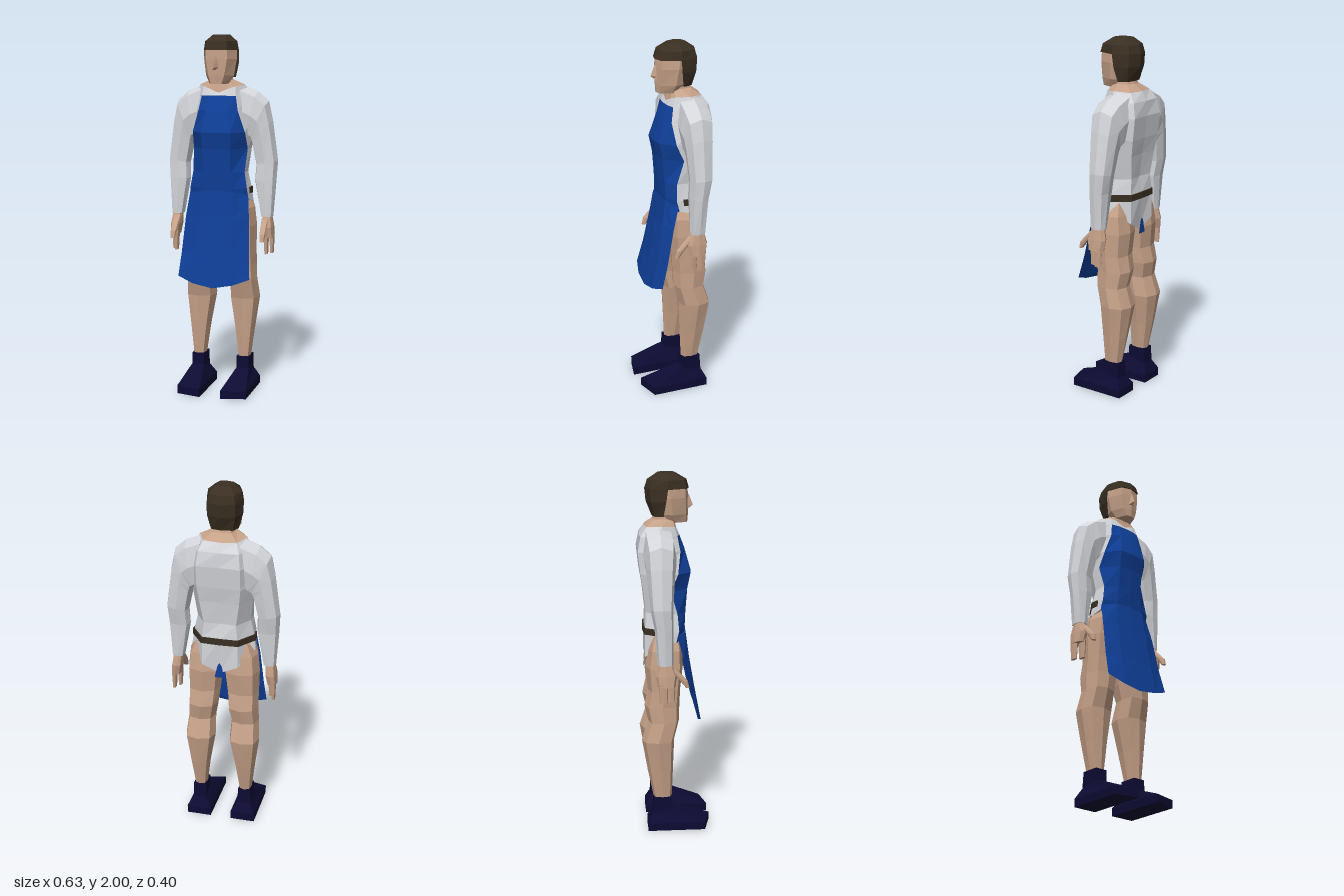
import * as THREE from 'three';

const mat = (name, color) => {
  const m = new THREE.MeshStandardMaterial({ color, flatShading: true });
  m.name = name;
  return m;
};

// Full ring from a half section: front centre, round the left side, to back centre
const half = (pts) => [
  ...pts,
  ...pts.slice(1, -1).reverse().map(([x, y, z]) => [-x, y, z]),
];
const level = (y, pts) => half(pts.map(([x, z]) => [x, y, z]));

// Eight-sided ring between two opposite points, with front and back depth
const oval = (xi, yi, xo, yo, zf, zb) => Array.from({ length: 8 }, (_, k) => {
  const a = (k / 8) * Math.PI * 2;
  const g = k % 2 ? 1.1 : 1;
  const u = Math.sin(a) * g, w = Math.cos(a) * g;
  return [
    (xi + xo) / 2 + ((xo - xi) / 2) * u,
    (yi + yo) / 2 + ((yo - yi) / 2) * u,
    (zf + zb) / 2 + ((zf - zb) / 2) * w,
  ];
});

// Skin rings from bottom to top, close both ends; paint picks a material index
function loft(rings, paint = () => 0) {
  const buckets = [[], []];
  const n = rings[0].length;
  for (let i = 0; i < rings.length - 1; i++) {
    for (let j = 0; j < n; j++) {
      const k = (j + 1) % n;
      const a = rings[i][j], b = rings[i][k], c = rings[i + 1][k], d = rings[i + 1][j];
      buckets[paint(i, j)].push(...a, ...b, ...c, ...a, ...c, ...d);
    }
  }
  const cap = (ring, up) => {
    const m = [0, 1, 2].map((q) => ring.reduce((s, p) => s + p[q], 0) / n);
    ring.forEach((p, j) => {
      const q = ring[(j + 1) % n];
      buckets[0].push(...m, ...(up ? p : q), ...(up ? q : p));
    });
  };
  cap(rings[0], false);
  cap(rings[rings.length - 1], true);
  const geo = new THREE.BufferGeometry();
  geo.setAttribute('position', new THREE.Float32BufferAttribute(buckets.flat(), 3));
  geo.addGroup(0, buckets[0].length / 3, 0);
  if (buckets[1].length) geo.addGroup(buckets[0].length / 3, buckets[1].length / 3, 1);
  geo.computeVertexNormals();
  return geo;
}

// Mirror across x and turn the triangles round again
function mirrored(geo) {
  const g = geo.clone().scale(-1, 1, 1);
  const p = g.attributes.position;
  const v = new THREE.Vector3(), w = new THREE.Vector3();
  for (let i = 0; i < p.count; i += 3) {
    v.fromBufferAttribute(p, i + 1);
    w.fromBufferAttribute(p, i + 2);
    p.setXYZ(i + 1, w.x, w.y, w.z);
    p.setXYZ(i + 2, v.x, v.y, v.z);
  }
  g.computeVertexNormals();
  return g;
}

export function createModel() {
  const model = new THREE.Group();
  model.name = 'apronedMan';
  const skin = mat('skin', 0xc6a188);
  const shirt = mat('shirt white', 0xd3d5da);
  const blue = mat('apron blue', 0x0f3f98);
  const hair = mat('hair brown', 0x3a2f22);
  const shoe = mat('shoe navy', 0x0d0b33);
  blue.side = THREE.DoubleSide;

  const add = (name, geo, material) => {
    const m = new THREE.Mesh(geo, material);
    m.name = name;
    model.add(m);
  };
  const pair = (name, geo, material) => {
    add(name + 'Left', geo, material);
    add(name + 'Right', mirrored(geo), material);
  };

  // Torso: white shirt with the apron bib on the front columns
  const collar = half([[0, 1.685, 0.02], [0.06, 1.71, 0.012], [0.09, 1.72, 0],
    [0.13, 1.728, -0.07], [0.09, 1.72, -0.15], [0, 1.72, -0.165]]);
  const torso = [
    half([[0, 1.02, 0.045], [0.09, 1.06, 0.045], [0.168, 1.1, 0.005],
      [0.18, 1.08, -0.07], [0.1, 1.0, -0.165], [0, 0.95, -0.15]]),
    level(1.16, [[0, 0.058], [0.09, 0.055], [0.163, 0.02], [0.17, -0.06], [0.1, -0.162], [0, -0.165]]),
    level(1.25, [[0, 0.067], [0.08, 0.06], [0.148, 0.012], [0.15, -0.06], [0.09, -0.158], [0, -0.15]]),
    level(1.38, [[0, 0.076], [0.08, 0.07], [0.156, -0.025], [0.165, -0.08], [0.11, -0.172], [0, -0.165]]),
    level(1.47, [[0, 0.094], [0.085, 0.088], [0.15, 0.015], [0.18, -0.09], [0.12, -0.187], [0, -0.182]]),
    level(1.59, [[0, 0.06], [0.06, 0.056], [0.112, 0.03], [0.18, -0.09], [0.12, -0.2], [0, -0.195]]),
    level(1.67, [[0, 0.03], [0.05, 0.028], [0.097, 0.015], [0.16, -0.08], [0.11, -0.185], [0, -0.19]]),
    collar,
  ];
  add('torso', loft(torso, (i, j) => (i < 6 && (j < 2 || j > 7) ? 1 : 0)), [shirt, blue]);

  // Belt round the back
  const beltLine = [[0, 0], [0.1, -0.01], [0.174, -0.02], [0.178, -0.063], [0.104, -0.168], [0, -0.173]];
  add('belt', loft([level(1.13, beltLine), level(1.165, beltLine)]), hair);

  // Apron skirt: thin sheet flaring forward
  const sheet = (yc, ym, ye, zc, zm, ze, xe) => half([
    [0, yc, zc], [xe * 0.55, ym, zm], [xe, ye, ze],
    [xe * 0.55, ym, zm - 0.008], [0, yc, zc - 0.008]]);
  add('apronSkirt', loft([
    sheet(0.615, 0.635, 0.668, 0.152, 0.145, 0.12, 0.205),
    sheet(0.8, 0.8, 0.8, 0.118, 0.113, 0.085, 0.195),
    sheet(1.0, 1.0, 1.0, 0.083, 0.079, 0.045, 0.182),
    sheet(1.15, 1.14, 1.13, 0.064, 0.06, 0.01, 0.168),
  ]), blue);

  // Small blue patch at the seat
  const patch = new THREE.Shape([[-0.028, 0.93], [0.028, 0.93], [0.012, 1.0], [0, 1.02], [-0.012, 1.0]]
    .map(([x, y]) => new THREE.Vector2(x, y)));
  add('seatPatch', new THREE.ShapeGeometry(patch).translate(0, 0, -0.167), blue);

  // Neck
  add('neck', loft([
    collar,
    level(1.755, [[0, 0], [0.025, -0.002], [0.045, -0.01], [0.062, -0.045], [0.05, -0.105], [0, -0.118]]),
    level(1.8, [[0, -0.005], [0.025, -0.007], [0.04, -0.012], [0.056, -0.045], [0.04, -0.09], [0, -0.1]]),
  ]), skin);

  // Head and nose
  add('head', loft([
    level(1.735, [[0, 0.076], [0.03, 0.068], [0.055, 0.005], [0.04, -0.05], [0, -0.06]]),
    level(1.78, [[0, 0.08], [0.045, 0.066], [0.08, -0.01], [0.058, -0.08], [0, -0.095]]),
    level(1.87, [[0, 0.08], [0.06, 0.062], [0.094, -0.02], [0.065, -0.11], [0, -0.13]]),
    level(1.94, [[0, 0.076], [0.058, 0.058], [0.092, -0.03], [0.065, -0.11], [0, -0.13]]),
  ]), skin);
  add('nose', loft([
    [[0, 1.81, 0.088], [0.018, 1.81, 0.075], [-0.018, 1.81, 0.075]],
    [[0, 1.825, 0.106], [0.016, 1.825, 0.075], [-0.016, 1.825, 0.075]],
    [[0, 1.885, 0.083], [0.008, 1.885, 0.072], [-0.008, 1.885, 0.072]],
  ]), skin);

  // Hair: cap on top, longer part at the back
  add('hairCap', loft([
    level(1.918, [[0, 0.084], [0.06, 0.068], [0.1, -0.035], [0.075, -0.13], [0, -0.157]]),
    level(1.965, [[0, 0.07], [0.056, 0.054], [0.092, -0.035], [0.066, -0.12], [0, -0.142]]),
    level(2.0, [[0, 0.01], [0.036, 0], [0.05, -0.04], [0.038, -0.08], [0, -0.09]]),
  ]), hair);
  add('hairBack', loft([
    level(1.77, [[0, -0.055], [0.078, -0.058], [0.057, -0.107], [0, -0.118]]),
    level(1.85, [[0, -0.04], [0.099, -0.045], [0.075, -0.125], [0, -0.15]]),
    level(1.92, [[0, -0.03], [0.1, -0.035], [0.075, -0.13], [0, -0.157]]),
  ]), hair);

  // Arms, wrist to shoulder
  pair('sleeve', loft([
    oval(0.225, 1.0, 0.295, 1.0, -0.02, -0.105),
    oval(0.188, 1.2, 0.31, 1.2, -0.018, -0.12),
    oval(0.192, 1.29, 0.316, 1.31, -0.02, -0.14),
    oval(0.168, 1.4, 0.286, 1.53, -0.008, -0.155),
    oval(0.16, 1.42, 0.262, 1.64, 0, -0.162),
    oval(0.145, 1.43, 0.2, 1.693, 0.005, -0.17),
    oval(0.09, 1.46, 0.11, 1.728, 0, -0.175),
  ]), shirt);

  // Hands: palm, two finger blocks and a thumb
  pair('palm', loft([
    oval(0.25, 0.88, 0.302, 0.88, -0.01, -0.105),
    oval(0.238, 0.94, 0.298, 0.94, 0, -0.115),
    oval(0.235, 1.01, 0.288, 1.01, -0.028, -0.098),
  ]), skin);
  for (const [name, x, z] of [['innerFingers', 0.262, -0.035], ['outerFingers', 0.285, -0.075]]) {
    pair(name, loft([
      oval(x - 0.008, 0.79, x + 0.01, 0.79, z + 0.022, z - 0.02),
      oval(x - 0.014, 0.9, x + 0.014, 0.9, z + 0.026, z - 0.028),
    ]), skin);
  }
  pair('thumb', loft([
    oval(0.245, 0.87, 0.27, 0.87, 0.068, 0.048),
    oval(0.24, 0.91, 0.275, 0.91, 0.058, 0.015),
    oval(0.235, 0.99, 0.275, 0.99, -0.02, -0.06),
  ]), skin);

  // Legs: [y, inner x, outer x, front z, back z]
  pair('leg', loft([
    [0.17, 0.1, 0.165, -0.02, -0.118],
    [0.35, 0.075, 0.188, -0.012, -0.155],
    [0.53, 0.042, 0.213, -0.005, -0.186],
    [0.64, 0.047, 0.203, 0.022, -0.15],
    [0.73, 0.03, 0.2, 0.025, -0.17],
    [0.82, 0.02, 0.2, 0.03, -0.15],
    [0.95, 0.005, 0.203, 0.045, -0.163],
    [1.05, 0.005, 0.193, 0.042, -0.148],
    [1.13, 0.01, 0.155, 0.03, -0.13],
  ].map(([y, xi, xo, zf, zb]) => oval(xi, y, xo, y, zf, zb))), skin);

  // Shoes
  const sole = (y) => [[0.06, y, 0.2], [0.2, y, 0.166], [0.2, y, -0.155], [0.06, y, -0.155]];
  pair('shoe', loft([
    sole(0),
    sole(0.045),
    [[0.098, 0.125, -0.015], [0.168, 0.125, -0.015], [0.17, 0.1, -0.128], [0.095, 0.1, -0.128]],
    [[0.097, 0.19, -0.018], [0.168, 0.19, -0.018], [0.168, 0.19, -0.122], [0.097, 0.19, -0.122]],
  ]), shoe);

  return model;
}
